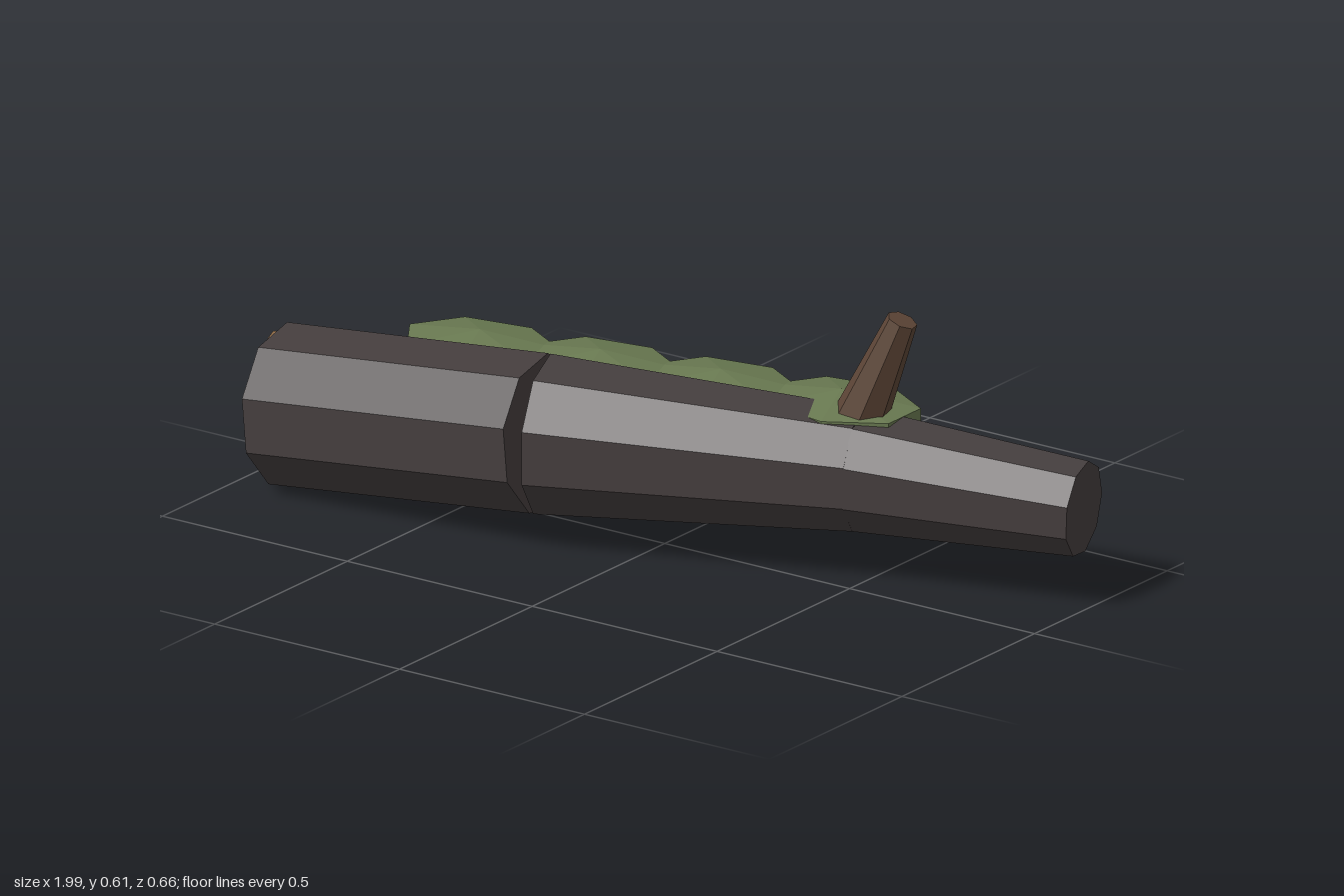
import * as THREE from 'three';

const mat = (name, color) => {
  const m = new THREE.MeshStandardMaterial({ color, flatShading: true });
  m.name = name;
  return m;
};

// Tapered prism from a to b, with its first side turned towards +z
function limb(name, a, b, ra, rb, sides, material) {
  const p = new THREE.Vector3(...a), q = new THREE.Vector3(...b);
  const axis = q.clone().sub(p), len = axis.length();
  axis.normalize();
  const z = new THREE.Vector3(0, 0, 1).addScaledVector(axis, -axis.z).normalize();
  const x = new THREE.Vector3().crossVectors(axis, z);
  const geo = new THREE.CylinderGeometry(rb, ra, len, sides, 1, false, Math.PI / sides);
  geo.applyMatrix4(new THREE.Matrix4().makeBasis(x, axis, z));
  const mesh = new THREE.Mesh(geo, material);
  mesh.name = name;
  mesh.position.copy(p).add(q).multiplyScalar(0.5);
  return mesh;
}

export function createModel() {
  const model = new THREE.Group();
  model.name = 'fallenLog';
  const bark = mat('bark', 0x443d3d);
  const brown = mat('branchBrown', 0x5c4536);
  const tan = mat('cutWood', 0x8f6b47);
  const moss = mat('mossGreen', 0x687850);

  // Trunk: three straight sections bending along the log
  const rings = [
    [[-0.915, 0.183, 0.155], 0.182],
    [[-0.24, 0.2425, 0.113], 0.18],
    [[0.46, 0.243, -0.103], 0.139],
    [[0.97, 0.223, -0.227], 0.108],
  ];
  for (let i = 0; i < 3; i++) {
    const [a, ra] = rings[i], [b, rb] = rings[i + 1];
    model.add(limb('trunkSection' + (i + 1), a, b, ra, rb, 9, bark));
  }

  // Cut end: stacked growth rings on a slightly turned disc
  const cut = new THREE.Group();
  cut.name = 'cutEnd';
  const n = new THREE.Vector3(-0.965, 0, 0.26);
  const centre = new THREE.Vector3(-0.943, 0.187, 0.158);
  const layers = [[0.154, 0.012, tan], [0.118, 0.019, brown], [0.078, 0.024, tan], [0.06, 0.029, brown]];
  layers.forEach(([r, h, m], i) => {
    const a = centre.clone().addScaledVector(n, -0.012);
    const b = centre.clone().addScaledVector(n, h);
    cut.add(limb('growthRing' + (i + 1), a.toArray(), b.toArray(), r, r, 9, m));
  });
  model.add(cut);

  // Broken branch stub
  model.add(limb('branchStub', [0.44, 0.345, -0.115], [0.54, 0.598, -0.143], 0.063, 0.035, 7, brown));

  // Moss: four overlapping seven-sided pads with a low peaked top
  const pad = new THREE.LatheGeometry(
    [[0, 0.315], [1, 0.315], [1, 0.372], [0, 0.4]].map(([r, y]) => new THREE.Vector2(r, y)),
    7, -Math.PI / 2);
  for (let i = 0; i < 4; i++) {
    const m = new THREE.Mesh(pad, moss);
    m.name = 'mossPad' + (i + 1);
    m.scale.set(0.19, 1, 0.14);
    m.position.set(-0.5 + 0.29 * i, 0, -0.05 * i);
    model.add(m);
  }
  return model;
}
